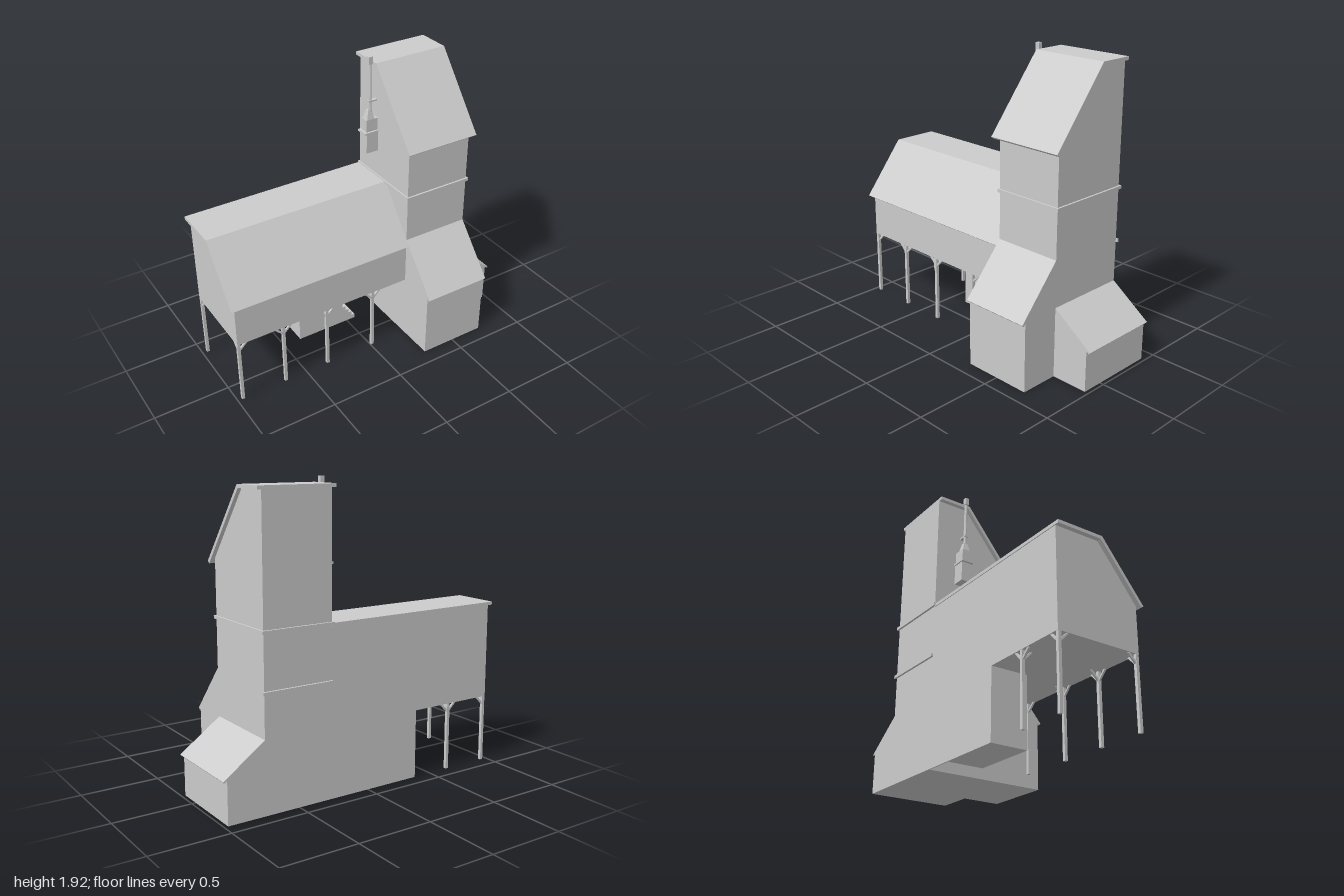
import * as THREE from 'three';

const mat = new THREE.MeshStandardMaterial({ color: 0xcccccc, flatShading: true, side: THREE.DoubleSide });
const BACK = -0.41, FRONT = 0.147, FLOOR = 0.445;

export function createModel() {
  const model = new THREE.Group();
  model.name = 'mineHeadhouse';

  const add = (name, geo, parent = model) => {
    const mesh = new THREE.Mesh(geo, mat);
    mesh.name = name;
    parent.add(mesh);
    return mesh;
  };
  const outline = pts => new THREE.Shape(pts.map(p => new THREE.Vector2(...p)));
  // Box given by its limits on each axis
  const box = (name, x0, x1, y0, y1, z0, z1, parent) => {
    const g = new THREE.BoxGeometry(x1 - x0, y1 - y0, z1 - z0);
    g.translate((x0 + x1) / 2, (y0 + y1) / 2, (z0 + z1) / 2);
    return add(name, g, parent);
  };
  // [z, y] profile carried along x
  const prismX = (name, pts, x0, x1) => {
    const g = new THREE.ExtrudeGeometry(outline(pts.map(([z, y]) => [-z, y])), { depth: x1 - x0, bevelEnabled: false });
    g.rotateY(Math.PI / 2).translate(x0, 0, 0);
    return add(name, g);
  };
  // [x, y] profile carried along z
  const prismZ = (name, pts, z0, z1) => {
    const g = new THREE.ExtrudeGeometry(outline(pts), { depth: z1 - z0, bevelEnabled: false });
    g.translate(0, 0, z0);
    return add(name, g);
  };
  // Square beam between two points
  const beam = (name, a, b, width, parent) => {
    const from = new THREE.Vector3(...a), to = new THREE.Vector3(...b);
    const mesh = add(name, new THREE.BoxGeometry(width, width, from.distanceTo(to)), parent);
    mesh.position.copy(from).lerp(to, 0.5);
    mesh.lookAt(to);
  };

  // Tower with its flat and sloping roof
  prismX('towerWalls', [[BACK, 0], [FRONT, 0], [FRONT, 1.435], [-0.195, 1.86], [BACK, 1.86]], 0.27, 0.73);
  prismX('towerRoof', [[BACK, 1.86], [-0.195, 1.86], [0.175, 1.402], [0.192, 1.416], [-0.185, 1.882], [BACK, 1.882]], 0.24, 0.755);

  // Trim boards around the tower
  box('towerBand', 0.26, 0.742, 1.07, 1.09, BACK - 0.014, FRONT + 0.012);
  box('backTrim', 0.27, 0.742, 0.72, 0.74, BACK - 0.014, BACK);

  // Front lean-to
  prismX('frontLeanTo', [[FRONT, 0], [0.4, 0], [0.4, 0.452], [FRONT, 0.728]], 0.27, 0.73);
  prismX('frontLeanToRoof', [[FRONT, 0.728], [0.412, 0.434], [0.425, 0.446], [0.147, 0.765]], 0.27, 0.73);

  // Side lean-to
  prismZ('sideLeanTo', [[0.73, 0], [0.975, 0], [0.975, 0.272], [0.73, 0.448]], BACK, FRONT - 0.005);
  prismZ('sideLeanToRoof', [[0.73, 0.445], [0.992, 0.257], [1, 0.266], [0.73, 0.459]], BACK, FRONT - 0.005);

  // Raised shed with its roof
  prismX('shedWalls', [[BACK, FLOOR], [FRONT, FLOOR], [FRONT, 0.74], [-0.115, 1.062], [BACK, 1.062]], -0.97, 0.27);
  prismX('shedRoof', [[BACK - 0.005, 1.062], [-0.115, 1.062], [0.16, 0.718], [0.177, 0.73], [-0.105, 1.083], [BACK - 0.005, 1.083]], -1, 0.27);

  // Stair wing: a solid block whose top steps down toward the tower
  const steps = 14, top = [-0.28, FLOOR], foot = [0.065, 0];
  const stairs = [[-0.375, 0], [-0.375, FLOOR], top];
  for (let i = 1; i <= steps; i++) {
    const x = top[0] + (foot[0] - top[0]) * i / steps;
    stairs.push([x, FLOOR * (1 - (i - 1) / steps)]);
    stairs.push([x, FLOOR * (1 - i / steps)]);
  }
  stairs.splice(2, 1);
  prismZ('stairWing', stairs, BACK, -0.165);
  box('lowerBackWall', -0.375, 0.27, 0, FLOOR, BACK, BACK + 0.008);

  // Posts under the shed with knee braces
  const post = (x, z, sides) => {
    const group = new THREE.Group();
    group.name = 'supportPost';
    model.add(group);
    box('post', x - 0.01, x + 0.01, 0, FLOOR, z - 0.01, z + 0.01, group);
    for (const s of sides) beam('kneeBrace', [x, 0.388, z], [x + s * 0.057, FLOOR, z], 0.012, group);
    const inward = z > 0 ? -1 : 1;
    beam('kneeBrace', [x, 0.388, z], [x, FLOOR, z + inward * 0.057], 0.012, group);
  };
  for (const x of [-0.96, -0.65, -0.335, 0.015]) {
    const sides = x < -0.9 ? [1] : [-1, 1];
    post(x, 0.135, sides);
    if (x < -0.4) post(x, -0.398, sides);
  }

  // Stove flue on the tower's inner wall
  const flue = new THREE.Group();
  flue.name = 'flue';
  model.add(flue);
  box('flueBox', 0.185, 0.27, 1.268, 1.405, -0.27, -0.2, flue);
  box('flueLedge', 0.17, 0.27, 1.403, 1.417, -0.278, -0.192, flue);
  box('flueHood', 0.187, 0.27, 1.417, 1.5, -0.265, -0.205, flue);
  const taper = new THREE.CylinderGeometry(0.013 * Math.SQRT2, 0.027 * Math.SQRT2, 0.06, 4);
  taper.rotateY(Math.PI / 4).translate(0.219, 1.53, -0.232);
  add('flueTaper', taper, flue);
  const pipe = new THREE.CylinderGeometry(0.01, 0.012, 0.36, 10);
  pipe.translate(0.223, 1.72, -0.226);
  add('fluePipe', pipe, flue);
  box('flueClamp', 0.208, 0.27, 1.615, 1.626, -0.238, -0.214, flue);
  box('flueCap', 0.207, 0.235, 1.868, 1.918, -0.239, -0.213, flue);

  return model;
}
